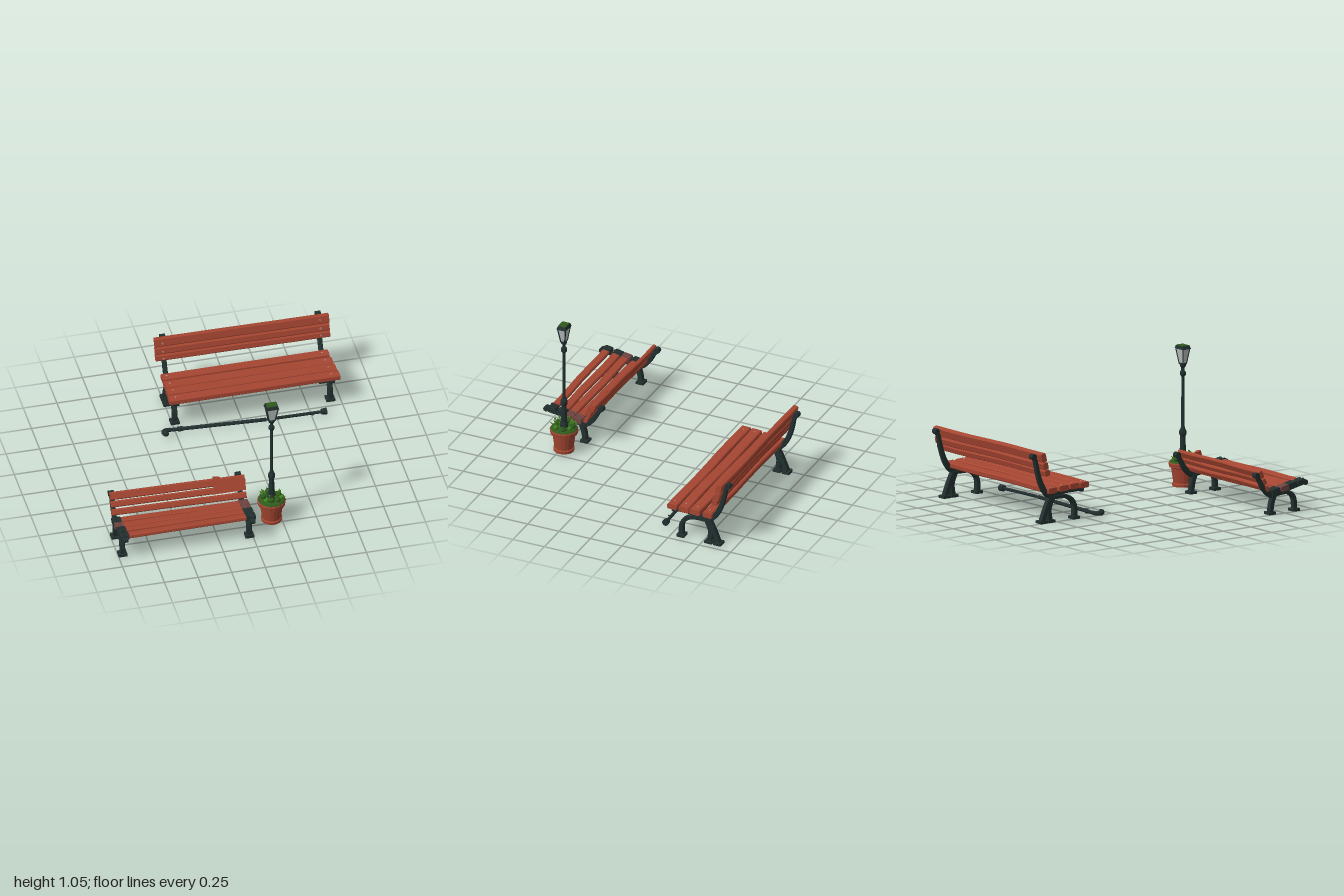
import * as THREE from 'three';

const mat = (name, color, side = THREE.FrontSide) => {
  const m = new THREE.MeshStandardMaterial({ color, side, flatShading: true });
  m.name = name;
  return m;
};

export function createModel() {
  const wood = mat('red wood', 0xa64632);
  const charred = mat('dark wood', 0x6e4440);
  const iron = mat('dark iron', 0x22302f);
  const clay = mat('terracotta', 0xa14430);
  const glass = mat('lantern glass', 0xb9bdbd, THREE.DoubleSide);
  const moss = mat('moss', 0x2f5a1c);
  const leafGreen = mat('leaf green', 0x3f7d20, THREE.DoubleSide);
  const bolt = mat('bolt', 0xb08f80);

  let seed = 7;
  const rnd = () => (seed = (seed * 16807) % 2147483647) / 2147483647;

  const root = new THREE.Group();
  const group = (name, parent = root) => {
    const g = new THREE.Group();
    g.name = name;
    parent.add(g);
    return g;
  };
  const add = (parent, name, geo, material, x = 0, y = 0, z = 0) => {
    const m = new THREE.Mesh(geo, material);
    m.name = name;
    m.position.set(x, y, z);
    parent.add(m);
    return m;
  };

  // Extrude a (z, y) outline along x, centred
  const extrudeX = (shape, depth, steps = 1, bevel = 0) => {
    const g = new THREE.ExtrudeGeometry(shape, {
      depth: depth - 2 * bevel, steps, bevelEnabled: bevel > 0, bevelSize: bevel,
      bevelThickness: bevel, bevelOffset: -bevel, bevelSegments: 1,
    });
    return g.translate(0, 0, -depth / 2 + bevel).rotateY(-Math.PI / 2);
  };

  // Chamfered, slightly warped plank running along x; z and y may differ at the two ends
  const plank = (parent, name, x0, x1, [z0, y0], [z1, y1], w, t, tilt, material = wood) => {
    const a = w / 2, b = t / 2, c = 0.007;
    const s = new THREE.Shape([[-a + c, -b], [a - c, -b], [a, -b + c], [a, b - c],
      [a - c, b], [-a + c, b], [-a, b - c], [-a, -b + c]].map(p => new THREE.Vector2(...p)));
    const len = x1 - x0, g = extrudeX(s, len, 6);
    g.rotateX(-tilt);
    const p = g.attributes.position, phase = rnd() * 6;
    for (let i = 0; i < p.count; i++) {
      const k = p.getX(i) / len + 0.5, wob = 0.002 * Math.sin(k * 9 + phase);
      p.setXYZ(i, p.getX(i) + (x0 + x1) / 2, p.getY(i) + y0 + (y1 - y0) * k + wob,
        p.getZ(i) + z0 + (z1 - z0) * k + wob);
    }
    g.computeVertexNormals();
    return add(parent, name, g, material);
  };

  // Curved iron strap through (z, y) points, tapering from width w0 to w1
  const strap = (parent, name, x, pts, w0, w1, thick) => {
    const curve = new THREE.SplineCurve(pts.map(p => new THREE.Vector2(...p)));
    const n = 12, left = [], right = [];
    for (let i = 0; i <= n; i++) {
      const p = curve.getPoint(i / n), d = curve.getTangent(i / n), h = (w0 + (w1 - w0) * i / n) / 2;
      left.push(new THREE.Vector2(p.x - d.y * h, p.y + d.x * h));
      right.unshift(new THREE.Vector2(p.x + d.y * h, p.y - d.x * h));
    }
    add(parent, name, extrudeX(new THREE.Shape([...left, ...right]), thick, 1, 0.004), iron, x);
  };
  const scroll = (parent, x, z, y, r) =>
    add(parent, 'scroll', new THREE.CylinderGeometry(r, r, 0.04, 10).rotateZ(Math.PI / 2), iron, x, y, z);

  // Cast iron end frame of a bench
  const frame = (parent, x, f) => {
    const g = group('endFrame', parent);
    strap(g, 'backUpright', x, f.upright, 0.045, 0.025, 0.032);
    strap(g, 'seatRail', x, f.rail, 0.025, 0.03, 0.034);
    strap(g, 'frontLeg', x, f.front, 0.036, 0.028, 0.038);
    f.rear.forEach(r => strap(g, 'rearLeg', x, r, 0.04, 0.036, 0.038));
    [f.front[0], ...f.rear.map(r => r[r.length - 1])].forEach(([z, y]) =>
      add(g, 'foot', new THREE.BoxGeometry(0.065, 0.02, 0.06), iron, x, y - 0.005, z));
    const [tz, ty] = f.upright[f.upright.length - 1];
    scroll(g, x, tz, ty - 0.005, 0.022);
    scroll(g, x, f.rail[0][0], f.rail[0][1], 0.02);
  };

  // Tall bench at the back
  const tall = group('tallBench');
  const tallFrame = {
    upright: [[-0.77, 0.18], [-0.83, 0.215], [-0.875, 0.28], [-0.908, 0.37], [-0.928, 0.46], [-0.95, 0.505]],
    rail: [[-0.52, 0.212], [-0.66, 0.212], [-0.83, 0.2]],
    front: [[-0.577, 0.015], [-0.577, 0.09], [-0.605, 0.145], [-0.67, 0.178], [-0.78, 0.18]],
    rear: [[[-0.78, 0.18], [-0.81, 0.1], [-0.80, 0.015]], [[-0.79, 0.19], [-0.835, 0.1], [-0.87, 0.015]]],
  };
  frame(tall, -0.23, tallFrame);
  frame(tall, 0.925, tallFrame);
  [[-0.52, 0.25, 0.076], [-0.609, 0.247, 0.08], [-0.70, 0.243, 0.082], [-0.797, 0.238, 0.074]].forEach(([z, y, w], i) => {
    plank(tall, 'seatPlank', -0.285 + 0.005 * i, 0.98 - 0.004 * i, [z, y], [z + (rnd() - 0.5) * 0.01, y], w, 0.042, 0.04);
    [-0.235, 0.92].forEach(x => add(tall, 'bolt', new THREE.CylinderGeometry(0.007, 0.007, 0.008, 6), bolt, x, y + 0.021, z));
  });
  [[-0.9, 0.495, 0.066], [-0.884, 0.43, 0.052], [-0.868, 0.379, 0.046]].forEach(([z, y, w]) => {
    plank(tall, 'backSlat', -0.30, 0.993, [z, y + 0.003], [z, y - 0.006], w, 0.042, Math.PI - 1.32);
    [-0.245, 0.925].forEach(x => add(tall, 'bolt',
      new THREE.CylinderGeometry(0.007, 0.007, 0.008, 6).rotateX(Math.PI / 2), bolt, x, y, z + 0.022));
  });

  // Low, reclined and damaged bench at the front
  const low = group('lowBench');
  const lowFrame = {
    upright: [[0.67, 0.13], [0.62, 0.155], [0.575, 0.2], [0.54, 0.26], [0.512, 0.305]],
    rail: [[0.95, 0.2], [0.87, 0.185], [0.65, 0.14]],
    front: [[0.857, 0.015], [0.853, 0.08], [0.83, 0.125], [0.77, 0.15], [0.67, 0.14]],
    rear: [[[0.67, 0.14], [0.65, 0.08], [0.64, 0.015]]],
  };
  frame(low, -0.967, lowFrame);
  frame(low, -0.025, lowFrame);
  [[0.9, 0.208, 0.054, iron, iron], [0.827, 0.195, 0.06, iron, iron],
    [0.757, 0.182, 0.06, charred, charred], [0.685, 0.17, 0.058, iron, charred]].forEach(([z, y, w, l, r], i) => {
    const zl = z + (i === 0 ? 0.01 : i === 3 ? -0.008 : 0), zr = z + (i === 3 ? 0.008 : 0);
    plank(low, 'seatPlank', -0.985, 0.0, [zl, y], [zr, y], w, 0.032, 0.18);
    plank(low, 'plankEnd', -0.997, -0.935, [zl, y], [zl, y], w + 0.01, 0.04, 0.18, l);
    plank(low, 'plankEnd', -0.062, 0.008, [zr, y], [zr, y], w + 0.008, 0.04, 0.18, r);
  });
  [[0.55, 0.304, 0.058], [0.578, 0.25, 0.045], [0.603, 0.196, 0.045]].forEach(([z, y, w]) =>
    plank(low, 'backSlat', -0.985, 0.01, [z, y], [z + 0.02, y - 0.004], w, 0.03, Math.PI - 1.1));
  // Splintered board leaning on the back rest
  const splinter = new THREE.Shape([[-0.245, -0.045], [0.005, -0.045], [0.01, 0.035], [-0.1, 0.04],
    [-0.165, 0.045], [-0.175, 0.075], [-0.225, 0.085], [-0.215, 0.02]].map(p => new THREE.Vector2(...p)));
  const board = add(low, 'brokenBoard', new THREE.ExtrudeGeometry(splinter, { depth: 0.026, bevelEnabled: false }),
    wood, 0, 0.272, 0.588);
  board.rotation.x = -0.45;

  // Flower pot
  const cx = 0.175, cz = 0.718;
  const pot = group('flowerPot');
  pot.position.set(cx, 0, cz);
  const lathe = (pts, seg) => new THREE.LatheGeometry(pts.map(p => new THREE.Vector2(...p)), seg);
  add(pot, 'potBody', lathe([[0, 0.015], [0.076, 0.015], [0.078, 0.035], [0.07, 0.042], [0.085, 0.15],
    [0.1, 0.157], [0.104, 0.185], [0.1, 0.193], [0.088, 0.193], [0.086, 0.18], [0, 0.18]], 18), clay);
  add(pot, 'mossBed', lathe([[0.099, 0.192], [0.094, 0.2], [0.06, 0.21], [0, 0.212]], 18), moss);
  const leafShape = new THREE.Shape();
  leafShape.moveTo(0, 0);
  leafShape.quadraticCurveTo(0.018, 0.02, 0, 0.05);
  leafShape.quadraticCurveTo(-0.018, 0.02, 0, 0);
  for (let i = 0; i < 18; i++) {
    const a = i / 18 * Math.PI * 2 + rnd() * 0.3, r = 0.05 + rnd() * 0.03;
    const x = Math.sin(a) * r, z = Math.cos(a) * r;
    const leaf = add(pot, 'leaf', new THREE.ShapeGeometry(leafShape, 3), leafGreen, x, 0.2, z);
    leaf.rotation.set(0.3 + rnd() * 0.7, a, 0, 'YXZ');
    if (i % 2) {
      const s = 0.014 + rnd() * 0.01;
      add(pot, 'shrub', new THREE.IcosahedronGeometry(s, 0), i % 4 === 1 ? moss : leafGreen, x, 0.212 + rnd() * 0.015, z);
    }
    if (i % 4 === 0) {
      add(pot, 'stem', new THREE.CylinderGeometry(0.002, 0.003, 0.06, 4), leafGreen, x, 0.23, z);
      add(pot, 'bud', new THREE.IcosahedronGeometry(0.009, 0), leafGreen, x, 0.262, z);
    }
  }

  // Lamp post standing in the pot
  const lamp = group('lampPost');
  lamp.position.set(cx, 0, cz);
  add(lamp, 'post', lathe([[0, 0.19], [0.032, 0.19], [0.032, 0.23], [0.024, 0.25], [0.019, 0.38], [0.026, 0.395],
    [0.026, 0.42], [0.016, 0.44], [0.012, 0.46], [0.011, 0.82], [0.022, 0.833], [0.022, 0.853], [0.012, 0.866],
    [0.013, 0.885], [0.021, 0.895], [0.023, 0.915], [0, 0.92]], 8), iron);
  const frustum = (top, bottom, h, open) =>
    new THREE.CylinderGeometry(top * Math.SQRT2, bottom * Math.SQRT2, h, 4, 1, open).rotateY(Math.PI / 4).scale(1, 1, 0.74);
  add(lamp, 'lanternGlass', frustum(0.041, 0.021, 0.11, true), glass, 0, 0.97, 0);
  add(lamp, 'lanternBase', frustum(0.024, 0.022, 0.012), iron, 0, 0.915, 0);
  add(lamp, 'lanternCap', frustum(0.042, 0.05, 0.024), iron, 0, 1.037, 0);
  add(lamp, 'capMoss', frustum(0.036, 0.037, 0.006), moss, 0, 1.05, 0);
  for (const sx of [-1, 1]) for (const sz of [-1, 1]) {
    const bar = new THREE.LineCurve3(new THREE.Vector3(sx * 0.022, 0.915, sz * 0.0163),
      new THREE.Vector3(sx * 0.043, 1.03, sz * 0.0318));
    add(lamp, 'lanternBar', new THREE.TubeGeometry(bar, 1, 0.005, 4), iron);
  }

  // Fallen rail on the ground
  const rail = group('fallenRail');
  const v = (x, y, z) => new THREE.Vector3(x, y, z);
  const rod = (name, a, b, r) => add(rail, name, new THREE.TubeGeometry(new THREE.LineCurve3(a, b), 1, r, 7), iron);
  rod('rod', v(-0.31, 0.036, -0.452), v(0.41, 0.034, -0.41), 0.014);
  rod('rod', v(0.43, 0.034, -0.41), v(0.83, 0.03, -0.41), 0.012);
  rod('joint', v(0.405, 0.034, -0.41), v(0.445, 0.034, -0.41), 0.009);
  rod('collar', v(-0.24, 0.036, -0.448), v(-0.2, 0.036, -0.446), 0.019);
  const hook = new THREE.CatmullRomCurve3([v(-0.29, 0.037, -0.452), v(-0.325, 0.038, -0.452),
    v(-0.348, 0.04, -0.43), v(-0.342, 0.04, -0.408)]);
  add(rail, 'hook', new THREE.TubeGeometry(hook, 10, 0.016, 7), iron);
  add(rail, 'hookTip', new THREE.IcosahedronGeometry(0.024, 1), iron, -0.335, 0.042, -0.41);
  add(rail, 'railEnd', new THREE.CylinderGeometry(0.022, 0.026, 0.04, 7).rotateZ(Math.PI / 2), iron, 0.84, 0.03, -0.412);
  add(rail, 'peg', new THREE.CylinderGeometry(0.006, 0.006, 0.03, 6).rotateX(Math.PI / 2), iron, 0.75, 0.03, -0.402);

  return root;
}
